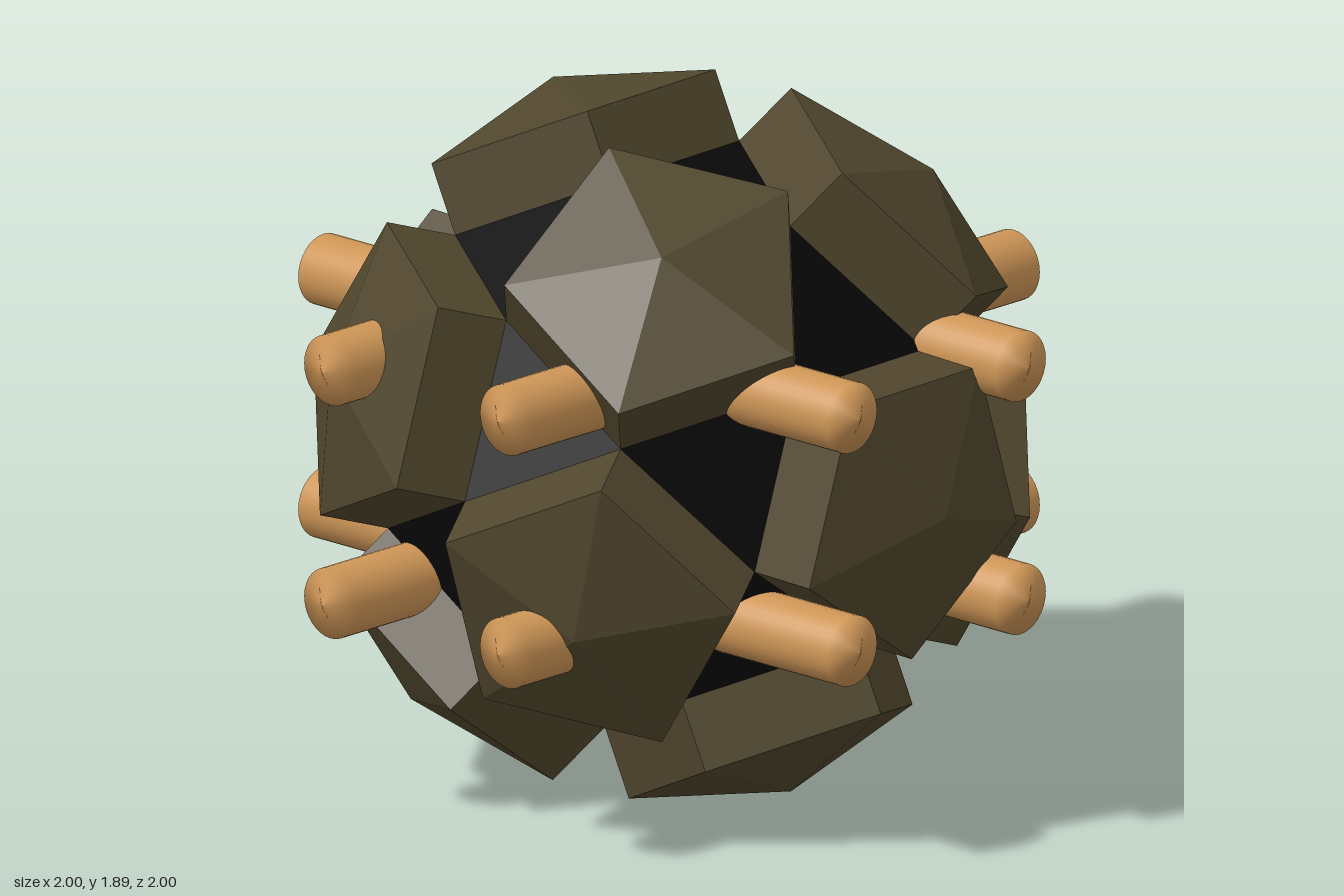
import * as THREE from 'three';
import { ConvexGeometry } from 'three/addons/geometries/ConvexGeometry.js';

const CENTRE = 0.947;                 // height of the ball's centre
const CORE = 0.8;                     // corner radius of the core
const NEIGHBOUR = Math.atan(2);       // angle between adjacent plates
const deg = THREE.MathUtils.degToRad;

export function createModel() {
  const model = new THREE.Group();
  model.name = 'studdedBall';

  const plateMat = new THREE.MeshStandardMaterial({ color: 0x50462d, flatShading: true });
  const coreMat = new THREE.MeshStandardMaterial({ color: 0x080808, flatShading: true });
  const pegMat = new THREE.MeshStandardMaterial({ color: 0xcd9556 });

  // Ball: built with one plate on +y, then turned so that plate faces the front
  const ball = new THREE.Group();
  ball.name = 'ball';
  ball.position.y = CENTRE;
  ball.rotation.set(deg(91.4), deg(0.5), deg(0.6), 'ZYX');
  model.add(ball);

  // Five-sided plate: straight sides and a shallow pyramid on top
  const edge = CORE * 2 / (1 + Math.sqrt(5));
  const plateRadius = edge / (2 * Math.sin(Math.PI / 5));
  const plateBase = Math.sqrt(CORE ** 2 - plateRadius ** 2);
  const plateGeo = new THREE.LatheGeometry([
    new THREE.Vector2(plateRadius, plateBase),
    new THREE.Vector2(plateRadius, 0.88),
    new THREE.Vector2(0, 0.998),
  ], 5);

  // Twelve plates: a pole and a ring of five, repeated upside down
  const directions = [];
  const addPlate = (turn) => {
    const plate = new THREE.Mesh(plateGeo, plateMat);
    plate.name = 'plate';
    plate.applyMatrix4(turn);
    ball.add(plate);
    directions.push(new THREE.Vector3(0, 1, 0).transformDirection(turn));
  };
  const rotX = (a) => new THREE.Matrix4().makeRotationX(a);
  const rotY = (a) => new THREE.Matrix4().makeRotationY(a);
  for (const flip of [0, Math.PI]) {
    addPlate(rotX(flip));
    for (let k = 0; k < 5; k++) {
      addPlate(rotX(flip)
        .multiply(rotY(k * Math.PI * 2 / 5))
        .multiply(rotX(NEIGHBOUR))
        .multiply(rotY(Math.PI)));
    }
  }

  // Dark core: corners lie halfway between neighbouring plates
  const corners = [];
  directions.forEach((a, i) => directions.slice(i + 1).forEach((b) => {
    if (a.dot(b) > 0.4) corners.push(a.clone().add(b).setLength(CORE));
  }));
  const core = new THREE.Mesh(new ConvexGeometry(corners), coreMat);
  core.name = 'core';
  ball.add(core);

  // Pegs: rods right through the ball, with soft, slightly pointed ends
  const pegGeo = new THREE.LatheGeometry([
    new THREE.Vector2(0, -1),
    new THREE.Vector2(0.097, -0.97),
    new THREE.Vector2(0.097, 0.97),
    new THREE.Vector2(0, 1),
  ], 32);
  const offset = 0.323;
  for (const h of [-offset, offset]) {
    for (const s of [-offset, offset]) {
      const sidePeg = new THREE.Mesh(pegGeo, pegMat);
      sidePeg.name = 'sidePeg';
      sidePeg.rotation.z = Math.PI / 2;
      sidePeg.position.set(0, CENTRE + h, s);
      const frontPeg = new THREE.Mesh(pegGeo, pegMat);
      frontPeg.name = 'frontPeg';
      frontPeg.rotation.x = Math.PI / 2;
      frontPeg.position.set(s, CENTRE + h, 0);
      model.add(sidePeg, frontPeg);
    }
  }
  return model;
}
